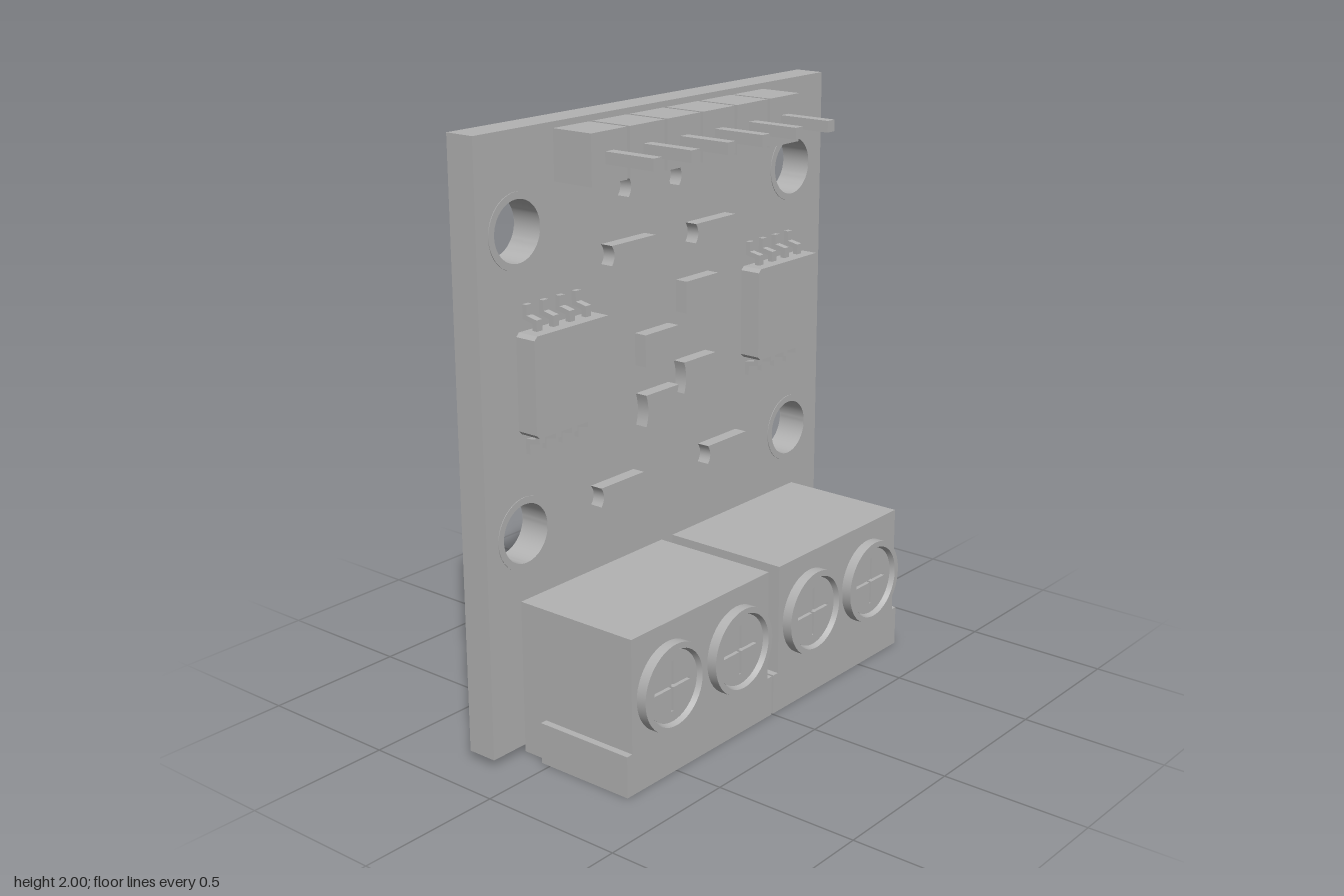
import * as THREE from 'three';
import { toCreasedNormals } from 'three/addons/utils/BufferGeometryUtils.js';

const grey = new THREE.MeshStandardMaterial({ color: 0xb3b3b3, side: THREE.DoubleSide });
grey.name = 'plain grey';

const FRONT = -0.13, BACK = -0.235;

function add(parent, name, geometry, x = 0, y = 0, z = 0) {
  const mesh = new THREE.Mesh(geometry, grey);
  mesh.name = name;
  mesh.position.set(x, y, z);
  parent.add(mesh);
  return mesh;
}

// Box given by its limits on each axis
function block(parent, name, [x0, x1], [y0, y1], [z0, z1]) {
  return add(parent, name, new THREE.BoxGeometry(x1 - x0, y1 - y0, z1 - z0),
    (x0 + x1) / 2, (y0 + y1) / 2, (z0 + z1) / 2);
}

function rect(Type, x0, y0, x1, y1) {
  return new Type([[x0, y0], [x1, y0], [x1, y1], [x0, y1]].map(p => new THREE.Vector2(...p)));
}

function extrude(shape, depth, curveSegments = 32) {
  return toCreasedNormals(new THREE.ExtrudeGeometry(shape, { depth, bevelEnabled: false, curveSegments }), 0.6);
}

function circle(Type, x, y, r) {
  return new Type().absarc(x, y, r, 0, Math.PI * 2);
}

// Board with four plated mounting holes
function addBoard(root) {
  const shape = rect(THREE.Shape, -0.85, 0.025, 0.85, 2);
  const ring = circle(THREE.Shape, 0, 0, 0.12);
  ring.holes.push(circle(THREE.Path, 0, 0, 0.097));
  const ringGeometry = extrude(ring, 0.002);
  for (const x of [-0.68, 0.68]) for (const y of [0.74, 1.695]) {
    shape.holes.push(circle(THREE.Path, x, y, 0.097));
    add(root, 'holeRingFront', ringGeometry, x, y, FRONT);
    add(root, 'holeRingBack', ringGeometry, x, y, BACK - 0.002);
  }
  add(root, 'board', extrude(shape, FRONT - BACK), 0, 0, BACK);
}

// Square pin through the board with a solder dome on the back
function addPin(parent, x, y, z0, z1) {
  block(parent, 'pin', [x - 0.019, x + 0.019], [y - 0.019, y + 0.019], [z0, z1]);
  const dome = new THREE.SphereGeometry(0.05, 20, 6, 0, Math.PI * 2, 0, Math.PI / 2);
  dome.rotateX(-Math.PI / 2).scale(1, 1, 0.45);
  add(parent, 'solderDome', dome, x, y, BACK);
}

function addHeader(root) {
  const header = new THREE.Group();
  header.name = 'pinHeader';
  for (let i = 0; i < 6; i++) {
    const x = (i - 2.5) * 0.1735 - 0.002;
    block(header, 'headerBlock', [x - 0.08, x + 0.08], [1.82, 1.98], [FRONT, 0.022]);
    addPin(header, x, 1.9, -0.32, 0.21);
  }
  root.add(header);
}

// Small component with optionally hollowed ends
function addChip(root, x, y, w, h, pinch) {
  const a = w / 2, b = h / 2;
  const s = new THREE.Shape();
  s.moveTo(-a, -b);
  s.lineTo(a, -b);
  s.quadraticCurveTo(a - pinch, 0, a, b);
  s.lineTo(-a, b);
  s.quadraticCurveTo(-a + pinch, 0, -a, -b);
  add(root, 'surfaceComponent', extrude(s, 0.045, 6), x, y, FRONT);
}

// Eight-legged integrated circuit
function addCircuit(root, cx) {
  const ic = new THREE.Group();
  ic.name = 'integratedCircuit';
  ic.position.set(cx, 1.235, 0);
  const a = 0.17, b = 0.16, c = 0.012;
  const s = new THREE.Shape([[-a + c, -b], [a - c, -b], [a, -b + c], [a, b - c],
    [a - c, b], [-a + c, b], [-a, b - c], [-a, -b + c]].map(p => new THREE.Vector2(...p)));
  add(ic, 'circuitBody', extrude(s, 0.075), 0, 0, -0.11);
  add(ic, 'cornerMark', new THREE.CircleGeometry(0.014, 20), -0.125, 0.115, -0.0345);

  // Leg outline in (z, y): out of the body, down, and along the board
  const leg = new THREE.Shape([[-0.072, 0.15], [-0.072, 0.195], [-0.113, 0.203], [-0.113, 0.236],
    [-0.13, 0.236], [-0.13, 0.19], [-0.09, 0.182], [-0.09, 0.15]].map(p => new THREE.Vector2(...p)));
  const geometry = extrude(leg, 0.024).rotateY(-Math.PI / 2).translate(0.012, 0, 0);
  const mirrored = geometry.clone().rotateZ(Math.PI);
  for (let i = 0; i < 4; i++) {
    const x = (i - 1.5) * 0.0725;
    add(ic, 'upperLeg', geometry, x);
    add(ic, 'lowerLeg', mirrored, x);
  }
  root.add(ic);
}

// Screw head with a cross slot inside a raised collar
function addScrew(parent, x, y, z) {
  const collar = [[0.147, 0], [0.147, 0.035], [0.127, 0.035], [0.118, 0.012]];
  const ring = new THREE.LatheGeometry(collar.map(p => new THREE.Vector2(...p)), 48);
  add(parent, 'screwCollar', toCreasedNormals(ring.rotateX(Math.PI / 2), 0.6), x, y, z);
  const head = circle(THREE.Shape, 0, 0, 0.119);
  const l = 0.085, w = 0.005;
  head.holes.push(new THREE.Path([[-l, -w], [-w, -w], [-w, -l], [w, -l], [w, -w], [l, -w],
    [l, w], [w, w], [w, l], [-w, l], [-w, w], [-l, w]].map(p => new THREE.Vector2(...p))));
  add(parent, 'screwHead', extrude(head, 0.018), x, y, z);
}

function addTerminal(root, cx) {
  const terminal = new THREE.Group();
  terminal.name = 'screwTerminal';
  terminal.position.x = cx;
  block(terminal, 'terminalBody', [-0.34, 0.34], [0.14, 0.52], [FRONT, 0.325]);

  // Wider foot in plan, with two wire openings from below
  const foot = new THREE.Shape([[-0.364, -0.325], [0.364, -0.325], [0.364, 0.035], [0.34, 0.035],
    [0.34, 0.13], [-0.34, 0.13], [-0.34, 0.035], [-0.364, 0.035]].map(p => new THREE.Vector2(...p)));
  const funnel = new THREE.CylinderGeometry(0.55, 1, 0.14, 4, 1, true, Math.PI / 4);
  funnel.scale(0.15 * Math.SQRT2, 1, 0.145 * Math.SQRT2);
  const funnelGeometry = toCreasedNormals(funnel, 0.5);
  for (const x of [-0.17, 0.17]) {
    foot.holes.push(rect(THREE.Path, x - 0.15, -0.29, x + 0.15, 0));
    add(terminal, 'wireFunnel', funnelGeometry, x, 0.07, 0.145);
    addScrew(terminal, x, 0.31, 0.325);
    addPin(terminal, x, 0.31, -0.36, -0.15);
  }
  add(terminal, 'terminalFoot', extrude(foot, 0.14).rotateX(-Math.PI / 2));
  root.add(terminal);
}

export function createModel() {
  const root = new THREE.Group();
  root.name = 'circuitModule';
  addBoard(root);
  addHeader(root);

  // Long narrow components
  for (const [x, y] of [[-0.125, 1.765], [0.12, 1.765], [-0.207, 1.56],
    [0.205, 1.56], [-0.273, 0.78], [0.27, 0.78]]) addChip(root, x, y, 0.208, 0.064, 0.025);

  // Short wide components
  for (const [x, y, pinch] of [[0.135, 1.355, 0], [-0.072, 1.218, 0],
    [0.122, 1.083, 0.02], [-0.071, 1.015, 0.02]]) addChip(root, x, y, 0.165, 0.107, pinch);

  for (const side of [-1, 1]) {
    addCircuit(root, side * 0.546);
    addTerminal(root, side * 0.3685);
  }
  return root;
}
